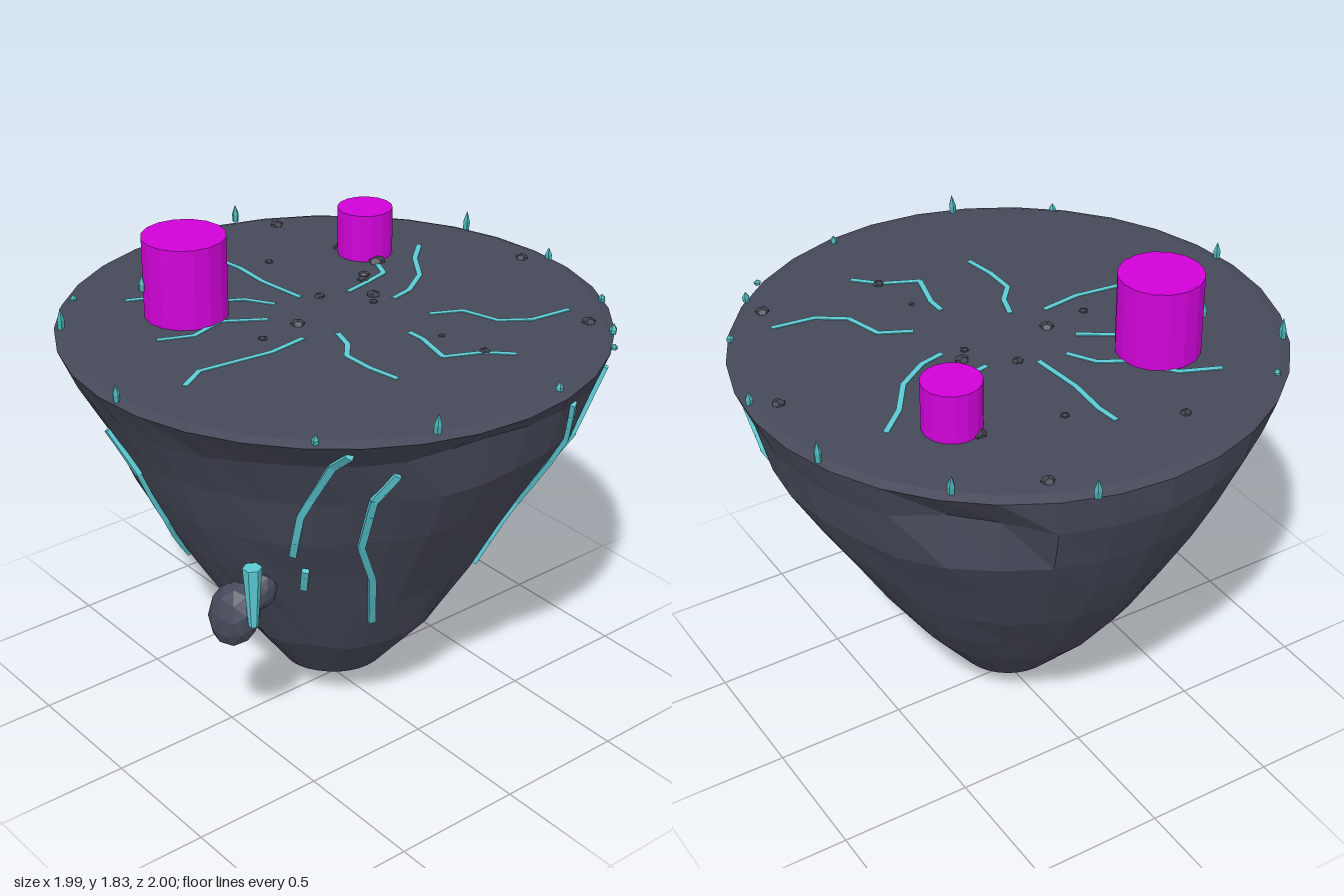
import * as THREE from 'three';
import { mergeGeometries } from 'three/addons/utils/BufferGeometryUtils.js';

const SIDES = 32;
const TOP = 1.527;
const RIM = 8;
// Ring height, then the radius at every 45 degrees from +x through +z, -x and -z
const RINGS = [
  [0.0, 0, 0, 0, 0, 0, 0, 0, 0],
  [0.13, 0.2, 0.2, 0.2, 0.2, 0.21, 0.2, 0.2, 0.2],
  [0.36, 0.38, 0.39, 0.38, 0.38, 0.38, 0.39, 0.4, 0.39],
  [0.57, 0.52, 0.53, 0.47, 0.48, 0.5, 0.53, 0.55, 0.54],
  [0.78, 0.65, 0.64, 0.58, 0.58, 0.62, 0.66, 0.69, 0.68],
  [0.98, 0.77, 0.75, 0.69, 0.67, 0.72, 0.77, 0.8, 0.79],
  [1.18, 0.88, 0.88, 0.79, 0.75, 0.81, 0.86, 0.9, 0.89],
  [1.37, 0.925, 0.95, 0.83, 0.84, 0.91, 0.95, 0.98, 0.95],
  [1.515, 0.99, 0.99, 0.998, 0.988, 0.995, 0.992, 0.998, 0.99],
  [TOP, 0.955, 0.955, 0.955, 0.955, 0.955, 0.955, 0.955, 0.955],
  [TOP, 0, 0, 0, 0, 0, 0, 0, 0],
];

const noise = (a, b) => {
  const s = Math.sin(a * 127.1 + b * 311.7) * 43758.5453;
  return (s - Math.floor(s)) * 2 - 1;
};
const isRough = (i) => i > 1 && i < RIM;

// Radius of one ring corner, blended between the eight directions
function cornerRadius(i, j) {
  j = ((j % SIDES) + SIDES) % SIDES;
  const u = (j / SIDES) * 8, k = Math.floor(u);
  const t = (1 - Math.cos((u - k) * Math.PI)) / 2;
  const r = RINGS[i][1 + k] * (1 - t) + RINGS[i][1 + ((k + 1) % 8)] * t;
  // a chipped hollow under the rim at the back
  const chip = i === RIM - 1 && (j === 27 || j === 28) ? 0.07 : 0;
  return r - chip + (isRough(i) ? 0.007 * noise(i, j >> 1) : 0);
}

// Point on the faceted rock face in direction (x, z) at height y
function onRock(x, z, y, lift) {
  let i = 0;
  while (y > RINGS[i + 1][0]) i++;
  const t = (y - RINGS[i][0]) / (RINGS[i + 1][0] - RINGS[i][0]);
  const a = Math.atan2(z, x), u = (a / (Math.PI * 2)) * SIDES, j = Math.floor(u), f = u - j;
  const ring = (k) => cornerRadius(k, j) * (1 - f) + cornerRadius(k, j + 1) * f;
  const r = ring(i) * (1 - t) + ring(i + 1) * t + lift;
  return new THREE.Vector3(Math.cos(a) * r, y, Math.sin(a) * r);
}

function rockGeometry() {
  const pos = [], index = [];
  RINGS.forEach(([y], i) => {
    for (let j = 0; j < SIDES; j++) {
      const a = (j / SIDES) * Math.PI * 2, r = cornerRadius(i, j);
      const dy = isRough(i) ? 0.012 * noise(j >> 1, i + 20) : 0;
      pos.push(Math.cos(a) * r, y + dy, Math.sin(a) * r);
    }
  });
  for (let i = 0; i < RINGS.length - 1; i++) {
    for (let j = 0; j < SIDES; j++) {
      const a = i * SIDES + j, b = i * SIDES + ((j + 1) % SIDES), c = a + SIDES, d = b + SIDES;
      if (i < RINGS.length - 2) index.push(a, c, d);
      if (i > 0) index.push(a, d, b);
    }
  }
  const g = new THREE.BufferGeometry();
  g.setAttribute('position', new THREE.Float32BufferAttribute(pos, 3));
  g.setIndex(index);
  g.computeVertexNormals();
  return g;
}

// Chain of flat bars along a list of points; up(p) gives the outward direction
function strip(points, width, depth, up) {
  const bars = [], o = new THREE.Object3D();
  for (let i = 0; i < points.length - 1; i++) {
    const p = points[i], q = points[i + 1];
    o.position.copy(p).add(q).multiplyScalar(0.5);
    o.up.copy(up(o.position));
    o.lookAt(q);
    o.updateMatrix();
    bars.push(new THREE.BoxGeometry(width, depth, p.distanceTo(q) + width * 0.3).applyMatrix4(o.matrix));
  }
  return mergeGeometries(bars);
}

export function createModel() {
  const model = new THREE.Group();
  const mat = (name, color) => {
    const m = new THREE.MeshStandardMaterial({ color, flatShading: true });
    m.name = name;
    return m;
  };
  const slate = mat('slate', 0x464959);
  const pebbleGrey = mat('pebble grey', 0x40424e);
  const glow = mat('teal', 0x5ccad4);
  const crystalTeal = mat('deep teal', 0x48b2b6);
  const magenta = mat('magenta', 0xd002d8);
  const add = (name, geo, material, x = 0, y = 0, z = 0) => {
    const m = new THREE.Mesh(geo, material);
    m.name = name;
    m.position.set(x, y, z);
    model.add(m);
    return m;
  };

  // Floating rock with its bevelled plateau
  add('rock', rockGeometry(), slate);

  // Two pillars
  add('tallPillar', new THREE.CylinderGeometry(0.152, 0.152, 0.3, 16), magenta, -0.4, 1.675, -0.345);
  add('shortPillar', new THREE.CylinderGeometry(0.105, 0.105, 0.185, 16), magenta, 0.458, 1.617, -0.385);

  // Glowing cracks across the plateau: x, z pairs
  const cracks = [
    [[-0.02, -0.64], [-0.01, -0.55], [-0.02, -0.4], [0, -0.2]],
    [[-0.51, -0.57], [-0.37, -0.51], [-0.26, -0.36], [-0.17, -0.31], [-0.11, -0.21]],
    [[-0.61, -0.22], [-0.49, -0.17], [-0.35, -0.21], [-0.21, -0.12]],
    [[-0.74, 0.13], [-0.64, 0.07], [-0.36, 0.105], [-0.21, 0.085]],
    [[-0.09, 0.13], [-0.12, 0.22], [-0.18, 0.29], [-0.18, 0.41], [-0.16, 0.53]],
    [[0.11, 0.28], [0.11, 0.35], [0.07, 0.5], [0.2, 0.56], [0.28, 0.64]],
    [[0.27, 0.205], [0.38, 0.26], [0.42, 0.4], [0.52, 0.47], [0.68, 0.49]],
    [[0.26, 0.02], [0.35, 0], [0.47, -0.08], [0.56, -0.21], [0.66, -0.3]],
    [[0.17, -0.13], [0.27, -0.15], [0.38, -0.18], [0.42, -0.27]],
  ];
  const skyward = () => new THREE.Vector3(0, 1, 0);
  for (const c of cracks) {
    const pts = c.map(([x, z]) => new THREE.Vector3(x, TOP + 0.001, z));
    add('plateauCrack', strip(pts, 0.02, 0.004, skyward), glow);
  }

  // Veins running down the rock face: x, z, y
  const veins = [
    [[-0.54, 0.74, 1.46], [-0.525, 0.64, 1.38], [-0.54, 0.49, 1.12], [-0.5, 0.4, 0.92]],
    [[-0.45, 0.4, 0.83], [-0.45, 0.38, 0.73]],
    [[-0.34, 0.75, 1.31], [-0.38, 0.68, 1.2], [-0.35, 0.58, 0.96], [-0.25, 0.52, 0.77], [-0.17, 0.42, 0.52]],
    [[0.59, 0.8, 1.44], [0.5, 0.7, 1.18], [0.45, 0.54, 0.93], [0.41, 0.43, 0.68]],
    [[0.41, 0.86, 1.37], [0.435, 0.76, 1.2], [0.42, 0.53, 0.85], [0.33, 0.43, 0.58]],
    [[0.88, 0.37, 1.32], [0.83, 0.29, 1.18], [0.7, 0.22, 0.95], [0.47, 0.17, 0.56]],
    [[-0.85, -0.2, 1.26], [-0.78, -0.12, 1.1], [-0.64, -0.14, 0.85], [-0.52, -0.2, 0.65]],
  ];
  const outward = (p) => new THREE.Vector3(p.x, 0, p.z).normalize();
  for (const v of veins) {
    const pts = [];
    for (let i = 0; i < v.length - 1; i++) {
      for (let k = 0; k < 3; k++) {
        pts.push(onRock(...v[i].map((n, d) => n + (v[i + 1][d] - n) * (k / 3)), 0.006));
      }
    }
    pts.push(onRock(...v[v.length - 1], 0.006));
    add('rockVein', strip(pts, 0.026, 0.018, outward), glow);
  }

  // Crystals around the rim: x, z, height
  const rim = [
    [0.27, -0.96, 0.07], [0.65, -0.7, 0.08], [0.92, -0.32, 0.08], [0.96, 0.1, 0.05], [0.84, 0.5, 0.03],
    [0.67, 0.72, 0.04], [0.58, 0.81, 0.02], [0.2, 0.93, 0.04], [-0.31, 0.9, 0.08], [-0.65, 0.71, 0.035],
    [-0.97, 0.07, 0.065], [-0.815, -0.52, 0.085], [-0.65, -0.7, 0.03],
  ];
  const crystal = (x, y, z, h) => {
    const shape = [[0, 0], [0.012, 0], [0.014, h * 0.45], [0, h]].map((p) => new THREE.Vector2(...p));
    return add('crystal', new THREE.LatheGeometry(shape, 5), crystalTeal, x, y, z);
  };
  rim.forEach(([x, z, h], i) => {
    crystal(x, TOP - 0.008, z, h).rotation.set(noise(i, 3) * 0.12, i, noise(i, 5) * 0.12);
  });
  crystal(-0.547, 1.635, -0.4, 0.06);

  // Pebbles scattered on the plateau: x, z, radius
  const pebbles = [
    [-0.24, -0.73, 0.021], [0.36, -0.81, 0.026], [0.11, -0.53, 0.016], [0.31, -0.21, 0.023], [0.28, -0.18, 0.023],
    [0.06, -0.16, 0.021], [0.22, -0.05, 0.027], [0.18, 0, 0.016], [-0.15, -0.02, 0.027], [-0.32, 0, 0.017],
    [0.88, 0.04, 0.025], [0.18, 0.37, 0.012], [0.21, 0.56, 0.021], [0.66, 0.61, 0.027], [0.41, -0.47, 0.03],
    [0.43, -0.28, 0.035],
  ];
  pebbles.forEach(([x, z, r], i) => {
    const p = add('pebble', new THREE.DodecahedronGeometry(r), pebbleGrey, x, TOP + 0.001, z);
    p.scale.y = 0.6;
    p.rotation.y = i * 1.3;
  });

  // Small rocks hovering beside the cone, with a crystal column
  const boulder = (x, y, z, sx, sy, sz, turn) => {
    const m = add('hoveringRock', new THREE.IcosahedronGeometry(1, 1), slate, x, y, z);
    m.scale.set(sx, sy, sz);
    m.rotation.set(0.15, turn, -0.25);
  };
  boulder(-0.61, 0.61, 0.19, 0.08, 0.125, 0.1, 0.2);
  boulder(-0.53, 0.705, 0.24, 0.058, 0.08, 0.06, 0.2);
  add('crystalColumn', new THREE.CylinderGeometry(0.035, 0.018, 0.24, 6), glow, -0.6, 0.725, 0.29);

  return model;
}
